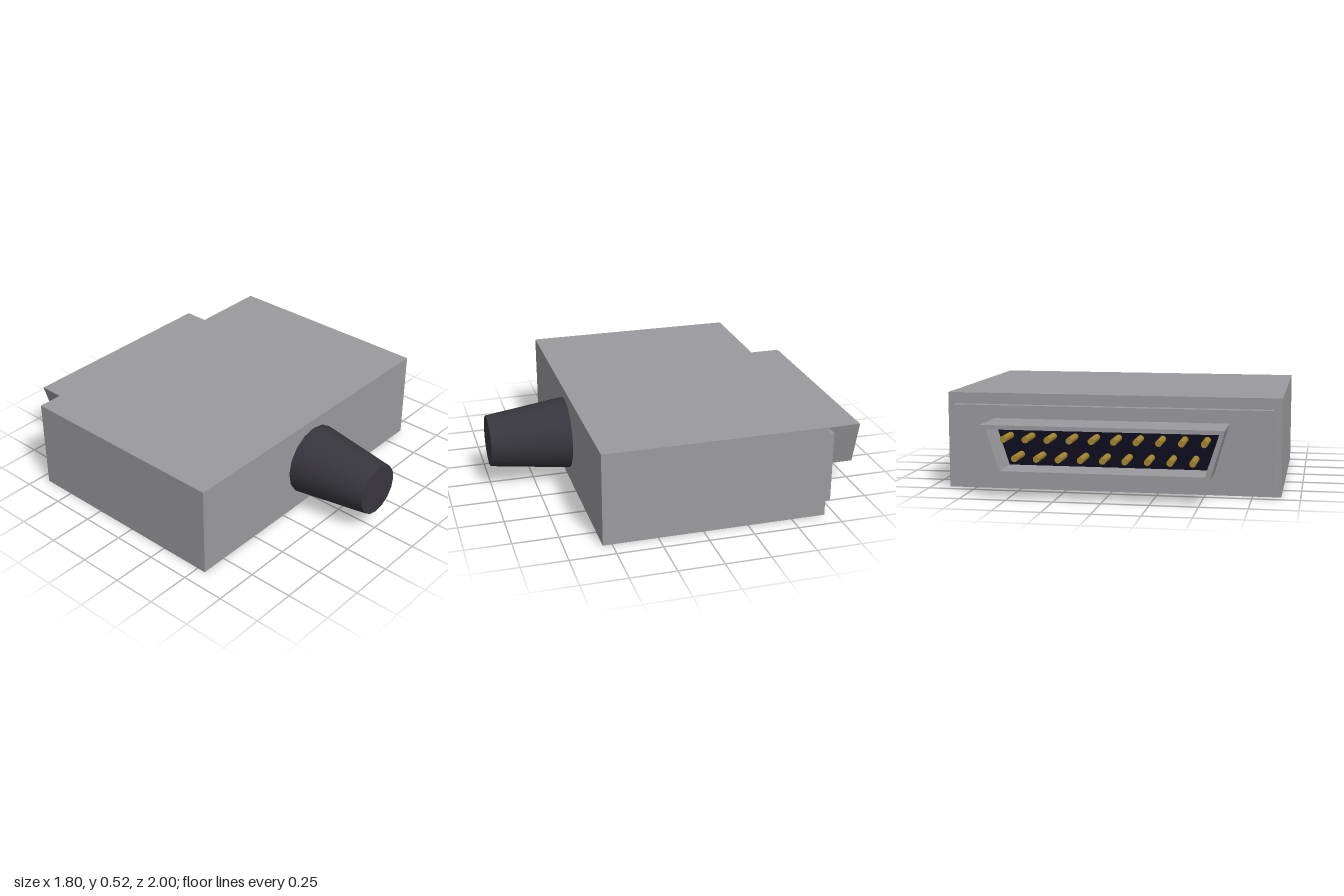
import * as THREE from 'three';

const material = (name, color) => {
  const m = new THREE.MeshStandardMaterial({ color });
  m.name = name;
  return m;
};

// Trapezoid outline, wide at the top, shrunk by an inset
function trapezoid(Type, inset) {
  const top = 0.63 - inset * 1.3, bottom = 0.555 - inset * 1.1, h = 0.13 - inset;
  const s = new Type();
  s.moveTo(-bottom, -h);
  s.lineTo(bottom, -h);
  s.lineTo(top, h);
  s.lineTo(-top, h);
  s.closePath();
  return s;
}

export function createModel() {
  const grey = material('grey plastic', 0x9b9b9f);
  const dark = material('dark rubber', 0x38363d);
  const navy = material('navy insulator', 0x0d0d20);
  const gold = material('gold contact', 0xa4842c);

  const model = new THREE.Group();
  model.name = 'cableConnector';
  const midY = 0.26;

  const add = (name, geometry, mat, x, y, z, parent = model) => {
    const mesh = new THREE.Mesh(geometry, mat);
    mesh.name = name;
    mesh.position.set(x, y, z);
    parent.add(mesh);
    return mesh;
  };

  // Housing and the flange on its back
  add('housing', new THREE.BoxGeometry(1.8, 0.52, 1.24), grey, 0, midY, -0.07);
  add('flange', new THREE.BoxGeometry(1.71, 0.4, 0.05), grey, 0, midY, -0.715);

  // Tapered cable relief on the front
  const relief = new THREE.CylinderGeometry(0.145, 0.205, 0.45, 16).rotateX(Math.PI / 2);
  add('cableRelief', relief, dark, 0, midY, 0.775);

  // Hollow trapezoid shell around the contacts
  const wall = 0.022;
  const ring = trapezoid(THREE.Shape, 0);
  ring.holes.push(trapezoid(THREE.Path, wall));
  const shell = new THREE.ExtrudeGeometry(ring, { depth: 0.26, bevelEnabled: false });
  add('shell', shell, grey, 0, midY, -1);

  // Insulator filling the bottom of the shell
  const block = new THREE.ExtrudeGeometry(trapezoid(THREE.Shape, wall), { depth: 0.06, bevelEnabled: false });
  add('insulator', block, navy, 0, midY, -0.8);

  // Two staggered rows of round contact pins
  const pins = new THREE.Group();
  pins.name = 'pins';
  model.add(pins);
  const pin = new THREE.CylinderGeometry(0.018, 0.018, 0.15, 10).rotateX(Math.PI / 2);
  const pitch = 0.116;
  for (const [count, dy] of [[10, 0.05], [9, -0.05]]) {
    for (let i = 0; i < count; i++) {
      add('pin', pin, gold, (i - (count - 1) / 2) * pitch, midY + dy, -0.875, pins);
    }
  }
  return model;
}
